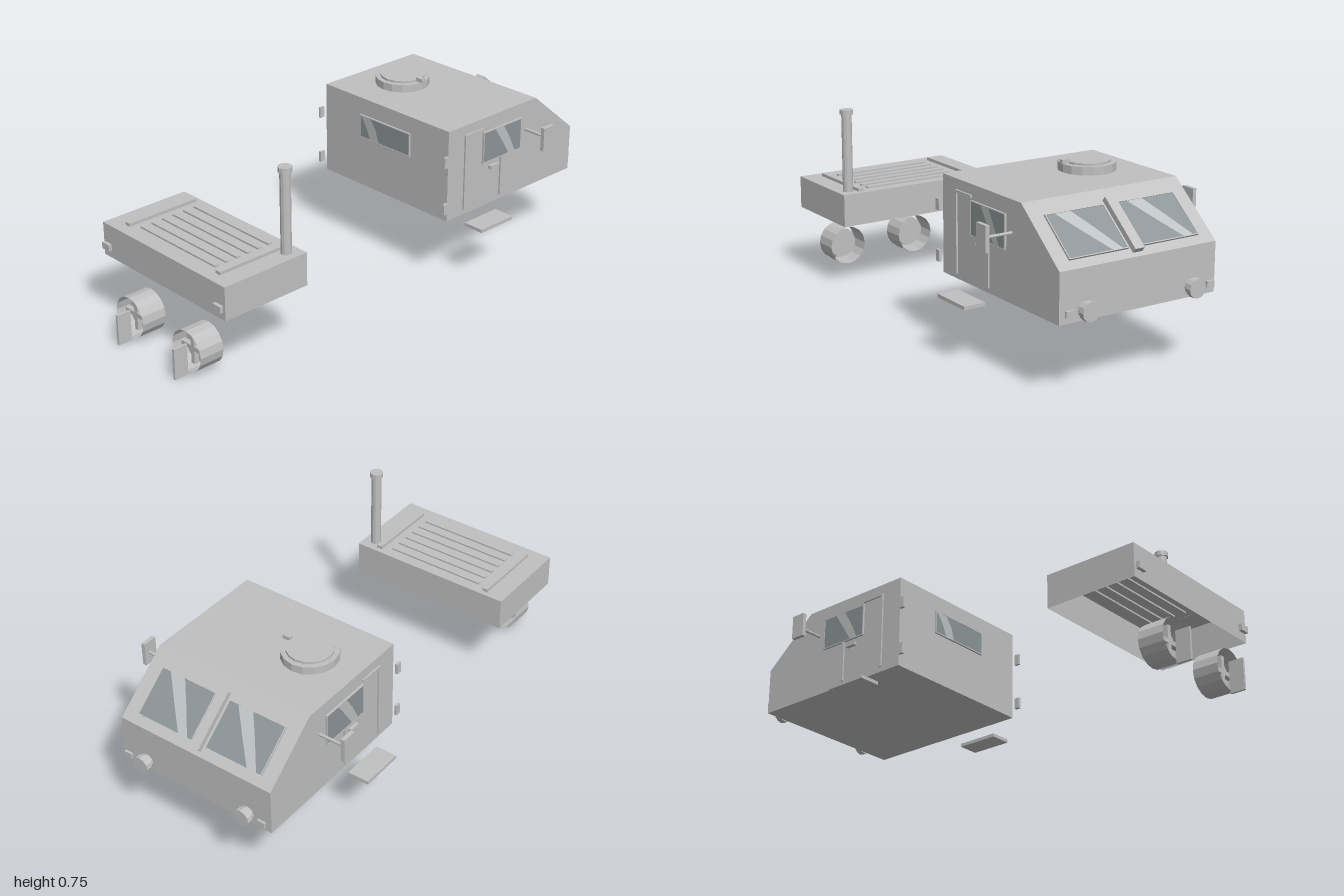
import * as THREE from 'three';

export function createModel() {
  const model = new THREE.Group();
  model.name = 'vehicleParts';
  const mat = (name, color) => new THREE.MeshStandardMaterial({ name, color, flatShading: true, side: THREE.DoubleSide });
  const body = mat('bodyGrey', 0xc0c0c0);
  const glass = mat('windowGlass', 0x8c9497);
  const glare = mat('windowGlare', 0xbec1c1);

  const add = (name, geo, x, y, z, parent = model, material = body) => {
    const m = new THREE.Mesh(geo, material);
    m.name = name;
    m.position.set(x, y, z);
    parent.add(m);
    return m;
  };
  const box = (name, w, h, d, x, y, z, parent, material) =>
    add(name, new THREE.BoxGeometry(w, h, d), x, y, z, parent, material);
  const cyl = (name, r, h, x, y, z, sides = 16, open = false) =>
    add(name, new THREE.CylinderGeometry(r, r, h, sides, 1, open), x, y, z);

  // Glass pane with a diagonal glare streak and a thin frame, facing local +z
  const pane = (name, w, h, from, to, parent) => {
    const g = new THREE.Group();
    g.name = name;
    box('glass', w, h, 0.006, 0, 0, 0.003, g, glass);
    const streak = new THREE.Shape([
      [from, 0.5], [from + 0.2 * (to - from) + 0.12, 0.5], [(from + to) / 2 + 0.12, 0.05],
      [to, -0.5], [to - 0.17, -0.5], [(from + to) / 2 - 0.06, -0.05],
    ].map(([x, y]) => new THREE.Vector2((x - 0.5) * w, y * h)));
    add('glare', new THREE.ShapeGeometry(streak), 0, 0, 0.0068, g, glare);
    for (const s of [-1, 1]) {
      box('frameRail', w + 0.008, 0.004, 0.008, 0, s * (h / 2 + 0.002), 0.004, g);
      box('framePost', 0.004, h, 0.008, s * (w / 2 + 0.002), 0, 0.004, g);
    }
    parent.add(g);
    return g;
  };

  // Cab shell: side profile extruded across the width
  const profile = new THREE.Shape([[0.225, 0.28], [0.96, 0.28], [0.96, 0.47], [0.73, 0.66], [0.225, 0.66]]
    .map(p => new THREE.Vector2(...p)));
  const cabGeo = new THREE.ExtrudeGeometry(profile, { depth: 0.686, bevelEnabled: false });
  cabGeo.translate(0, 0, -0.343).rotateY(Math.PI / 2);
  add('cab', cabGeo, 0, 0, 0);

  // Wall window
  pane('wallWindow', 0.272, 0.09, 0.02, 0.38, model).position.set(0, 0.541, -0.225);

  // Sloped windscreen with centre bar
  const screen = new THREE.Group();
  screen.name = 'windscreen';
  screen.position.set(0, 0.565, -0.845);
  screen.rotation.set(0, Math.PI, 0);
  screen.rotateX(-Math.atan2(0.23, 0.19));
  model.add(screen);
  for (const s of [-1, 1]) pane('screenPane', 0.246, 0.186, 0.15, 0.92, screen).position.set(s * 0.157, -0.015, 0);
  box('centreBar', 0.04, 0.232, 0.026, 0, -0.015, 0.009, screen);

  // Roof hatch
  cyl('hatchRing', 0.11, 0.032, -0.14, 0.676, -0.46, 16);
  cyl('hatchLid', 0.09, 0.01, -0.14, 0.696, -0.46, 16);
  box('hatchHandle', 0.034, 0.016, 0.02, -0.038, 0.702, -0.46);

  for (const s of [-1, 1]) {
    // Side window, door strips, handle and step
    const w = pane('sideWindow', 0.214, 0.125, 0.3, 0.85, model);
    w.position.set(s * 0.343, 0.535, -0.53);
    w.rotation.y = s * Math.PI / 2;
    box('doorStripRear', 0.008, 0.32, 0.01, s * 0.346, 0.46, -0.32);
    box('doorStripFront', 0.008, 0.17, 0.01, s * 0.346, 0.385, -0.53);
    box('doorStripTop', 0.008, 0.01, 0.1, s * 0.346, 0.615, -0.37);
    box('doorHandle', 0.016, 0.013, 0.047, s * 0.35, 0.442, -0.482);
    box('step', 0.09, 0.014, 0.18, s * 0.39, 0.233, -0.42);

    // Mirror
    cyl('mirrorArm', 0.006, 0.112, s * 0.398, 0.54, -0.675, 8).rotation.z = Math.PI / 2;
    box('mirror', 0.016, 0.098, 0.06, s * 0.461, 0.541, -0.67);

    // Corner hinges
    for (const y of [0.342, 0.54]) box('hinge', 0.011, 0.045, 0.022, s * 0.351, y, -0.205);

    // Headlamps and marker lamps
    cyl('headlamp', 0.037, 0.024, s * 0.235, 0.32, -0.988, 12).rotation.x = Math.PI / 2;
    cyl('headlampMount', 0.029, 0.02, s * 0.235, 0.32, -0.967, 12).rotation.x = Math.PI / 2;
    box('markerLamp', 0.034, 0.024, 0.01, s * 0.31, 0.32, -0.976);

    // Tail lamp and deck rail
    box('tailLamp', 0.042, 0.026, 0.014, s * 0.324, 0.325, 0.914);
    box('deckRail', 0.024, 0.014, 0.317, s * 0.262, 0.419, 0.7);

    // Ducted propeller with rudder
    cyl('propellerDuct', 0.082, 0.105, s * 0.168, 0.095, 0.888, 16, true).rotation.x = Math.PI / 2;
    cyl('propellerDisc', 0.063, 0.006, s * 0.168, 0.095, 0.888, 14).rotation.x = Math.PI / 2;
    box('propellerBladeUpright', 0.018, 0.126, 0.025, s * 0.168, 0.095, 0.9);
    box('propellerBladeLevel', 0.126, 0.018, 0.025, s * 0.168, 0.095, 0.9);
    box('rudder', 0.01, 0.125, 0.06, s * 0.168, 0.0625, 0.97);
  }

  // Engine deck, open underneath (bottom face removed)
  const deckGeo = new THREE.BoxGeometry(0.706, 0.134, 0.385);
  deckGeo.setIndex(Array.from(deckGeo.index.array).filter((_, i) => i < 18 || i >= 24));
  deckGeo.clearGroups();
  add('engineDeck', deckGeo, 0, 0.346, 0.712);

  // Grille slats
  for (let i = 0; i < 6; i++) box('grilleSlat', 0.432, 0.014, 0.018, 0, 0.413, 0.575 + i * 0.05);

  // Exhaust stack
  cyl('exhaustPipe', 0.021, 0.325, 0.304, 0.574, 0.575, 12);
  cyl('exhaustCap', 0.027, 0.02, 0.304, 0.745, 0.575, 12);

  return model;
}
